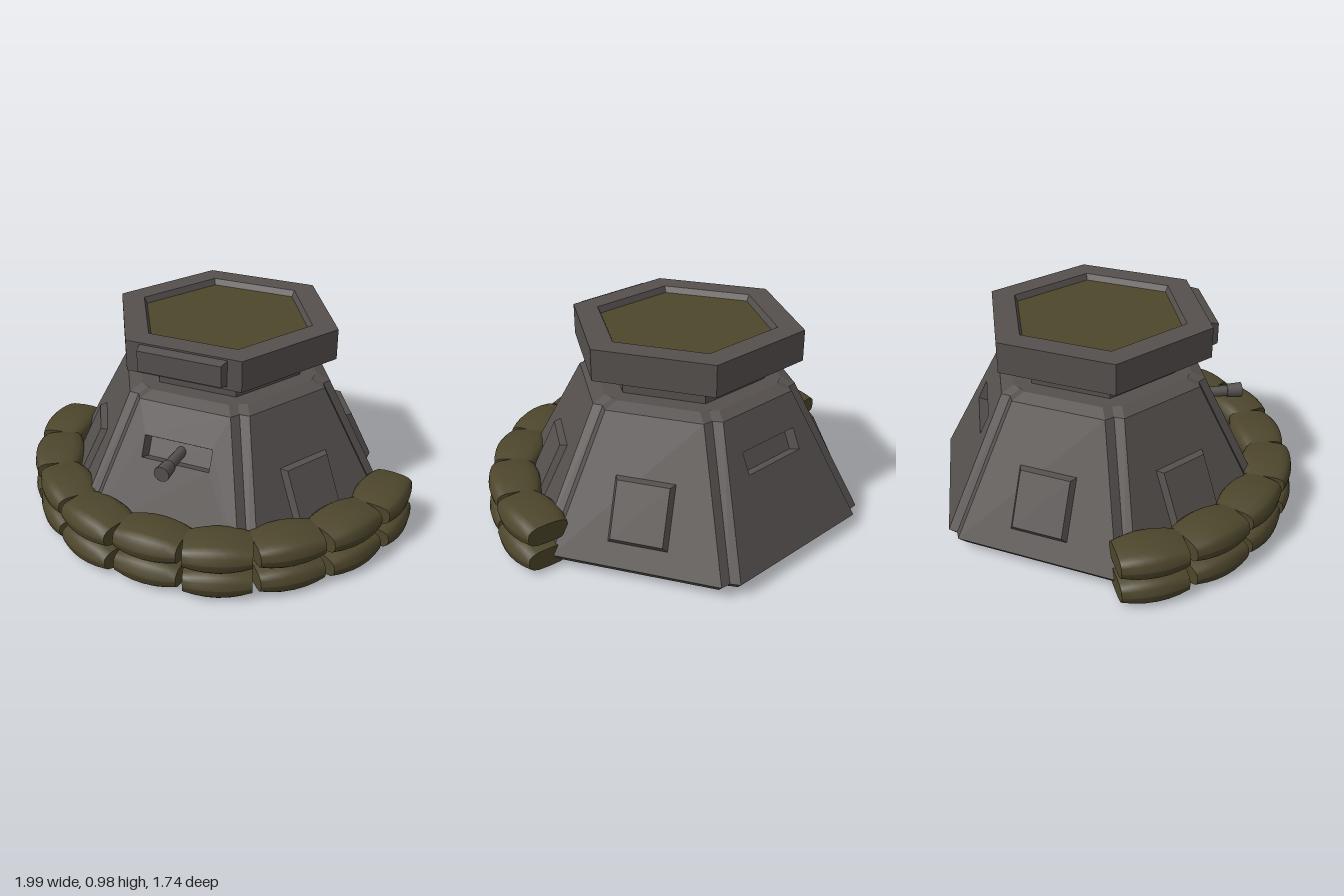
import * as THREE from 'three';

const concrete = new THREE.MeshStandardMaterial({ color: 0x55504e, side: THREE.DoubleSide });
concrete.name = 'concrete';
const olive = new THREE.MeshStandardMaterial({ color: 0x4d462c });
olive.name = 'olive';

// Wall profile: [apothem, height] from the ground up
const LEVELS = [[0.74, 0.03], [0.775, 0.07], [0.48, 0.69], [0.42, 0.715]];
const SIDE = Math.PI / 3;
const TILT = Math.atan2(0.295, 0.62);
const SLOPE = Math.hypot(0.295, 0.62);
const halfWidth = (a) => a / Math.sqrt(3) - 0.05;

function mesh(name, geometry, material) {
  const m = new THREE.Mesh(geometry, material);
  m.name = name;
  return m;
}

// Flat faces from four-cornered loops
function quads(list) {
  const pos = [];
  for (const [a, b, c, d] of list) pos.push(...a, ...b, ...c, ...a, ...c, ...d);
  const g = new THREE.BufferGeometry();
  g.setAttribute('position', new THREE.Float32BufferAttribute(pos, 3));
  g.computeVertexNormals();
  return g;
}

// Box whose outer (+z) face is smaller than its base
function plate(w, h, d, inset) {
  const g = new THREE.BoxGeometry(w, h, d);
  const p = g.attributes.position;
  for (let i = 0; i < p.count; i++) {
    if (p.getZ(i) < 0) continue;
    p.setX(i, p.getX(i) - Math.sign(p.getX(i)) * inset);
    p.setY(i, p.getY(i) - Math.sign(p.getY(i)) * inset);
  }
  g.computeVertexNormals();
  return g;
}

// Hexagonal solid from a profile running bottom to top
function hexLathe(points) {
  const g = new THREE.LatheGeometry(points.map((p) => new THREE.Vector2(...p)), 6, Math.PI / 6).toNonIndexed();
  g.computeVertexNormals();
  return g;
}

// Base chamfer, top bevel, corner groove and roof slice of one side
function trimGeometry() {
  const ring = LEVELS.map(([a, y]) => {
    const w = halfWidth(a), r = a / Math.cos(SIDE / 2) - 0.045;
    return {
      left: [-w, y, a],
      right: [w, y, a],
      groove: [r * Math.sin(SIDE / 2), y, r * Math.cos(SIDE / 2)],
      next: [-w * Math.cos(SIDE) + a * Math.sin(SIDE), y, w * Math.sin(SIDE) + a * Math.cos(SIDE)],
    };
  });
  const list = [];
  for (let i = 0; i < 3; i++) {
    const lo = ring[i], hi = ring[i + 1];
    if (i !== 1) list.push([lo.left, lo.right, hi.right, hi.left]);
    list.push([lo.right, lo.groove, hi.groove, hi.right]);
    list.push([lo.groove, lo.next, hi.next, hi.groove]);
  }
  const top = ring[3], centre = [0, 0.715, 0];
  list.push([top.left, top.right, centre, centre], [top.right, top.groove, top.next, centre]);
  return quads(list);
}

// Sloping wall, optionally pierced by a slot
function wallGeometry(slot) {
  const wb = halfWidth(0.775), wt = halfWidth(0.48);
  const shape = new THREE.Shape([[-wb, 0], [wb, 0], [wt, SLOPE], [-wt, SLOPE]].map((p) => new THREE.Vector2(...p)));
  if (slot) shape.holes.push(new THREE.Path(slot.map(([x, y]) => new THREE.Vector2(x, y))));
  return new THREE.ShapeGeometry(shape);
}

// Tapered pocket behind a slot
function recessGeometry(slot) {
  const outer = slot.map(([x, y]) => [x, y, 0]);
  const inner = slot.map(([x, y]) => [x * 0.93, 0.473 + (y - 0.473) * 0.85, -0.05]);
  const list = [inner];
  for (let i = 0; i < 4; i++) {
    const j = (i + 1) % 4;
    list.push([outer[j], outer[i], inner[i], inner[j]]);
  }
  return quads(list);
}

// Pillow with a squarish section, tapering to flat ends
function bagGeometry() {
  const g = new THREE.CylinderGeometry(1, 1, 2, 16, 6);
  g.rotateZ(Math.PI / 2);
  const p = g.attributes.position;
  const soft = (v) => Math.sign(v) * Math.pow(Math.abs(v), 0.65);
  for (let i = 0; i < p.count; i++) {
    const t = p.getX(i);
    p.setXYZ(i, t * 0.155,
      soft(p.getY(i)) * 0.069 * (1 - 0.3 * t * t),
      soft(p.getZ(i)) * 0.126 * (1 - 0.2 * t * t));
  }
  g.computeVertexNormals();
  return g;
}

function makeSide(k, trim) {
  const side = new THREE.Group();
  side.name = 'bunkerSide';
  side.rotation.y = k * SIDE;
  side.add(mesh('wallTrim', trim, concrete));

  const panel = new THREE.Group();
  panel.name = 'wallPanel';
  panel.position.set(0, 0.07, 0.775);
  panel.rotation.x = -TILT;
  side.add(panel);

  if (k % 3 === 0) {
    const slot = [[-0.17, 0.42], [0.17, 0.42], [0.17, 0.526], [-0.17, 0.526]];
    panel.add(mesh('wall', wallGeometry(slot), concrete));
    panel.add(mesh('firingSlot', recessGeometry(slot), concrete));
  } else {
    panel.add(mesh('wall', wallGeometry(null), concrete));
    const hatch = mesh('hatch', plate(0.28, 0.3, 0.03, 0.018), concrete);
    hatch.position.set(0, 0.26, 0.014);
    panel.add(hatch);
  }
  return side;
}

function makeGun() {
  const gun = new THREE.Group();
  gun.name = 'gun';
  const part = (name, r0, r1, z0, z1) => {
    const g = new THREE.CylinderGeometry(r1, r0, z1 - z0, 12);
    g.rotateX(Math.PI / 2);
    g.translate(0, 0.478, (z0 + z1) / 2);
    gun.add(mesh(name, g, concrete));
  };
  part('barrel', 0.024, 0.028, 0.36, 0.57);
  part('muzzle', 0.034, 0.038, 0.555, 0.63);
  return gun;
}

function makeSandbags() {
  const bags = new THREE.Group();
  bags.name = 'sandbags';
  const geometry = bagGeometry();
  const radii = [0.835, 0.855, 0.85, 0.86, 0.874];
  for (let row = 0; row < 2; row++) {
    for (let i = -4; i <= 4; i++) {
      const angle = i * 0.363;
      const r = radii[Math.abs(i)] - row * 0.006;
      const bag = mesh('sandbag', geometry, olive);
      bag.position.set(r * Math.sin(angle), 0.071 + row * 0.13, r * Math.cos(angle) - 0.1);
      bag.rotation.y = angle;
      bags.add(bag);
    }
  }
  return bags;
}

export function createModel() {
  const model = new THREE.Group();
  model.name = 'bunker';

  // Hexagonal body and its turret share an axis set slightly back
  const body = new THREE.Group();
  body.name = 'body';
  body.position.z = -0.1;
  const trim = trimGeometry();
  for (let k = 0; k < 6; k++) body.add(makeSide(k, trim));

  body.add(mesh('neck', hexLathe([[0.39, 0.71], [0.39, 0.835]]), concrete));
  body.add(mesh('topRing', hexLathe([[0.37, 0.83], [0.565, 0.83], [0.565, 0.98], [0.44, 0.98], [0.425, 0.95]]), concrete));
  const floor = mesh('topFloor', new THREE.CircleGeometry(0.426, 6), olive);
  floor.rotation.x = -Math.PI / 2;
  floor.position.y = 0.95;
  body.add(floor);
  const frontPlate = mesh('frontPlate', plate(0.43, 0.125, 0.05, 0.012), concrete);
  frontPlate.position.set(0, 0.91, 0.51);
  body.add(frontPlate);

  model.add(body, makeGun(), makeSandbags());
  return model;
}
